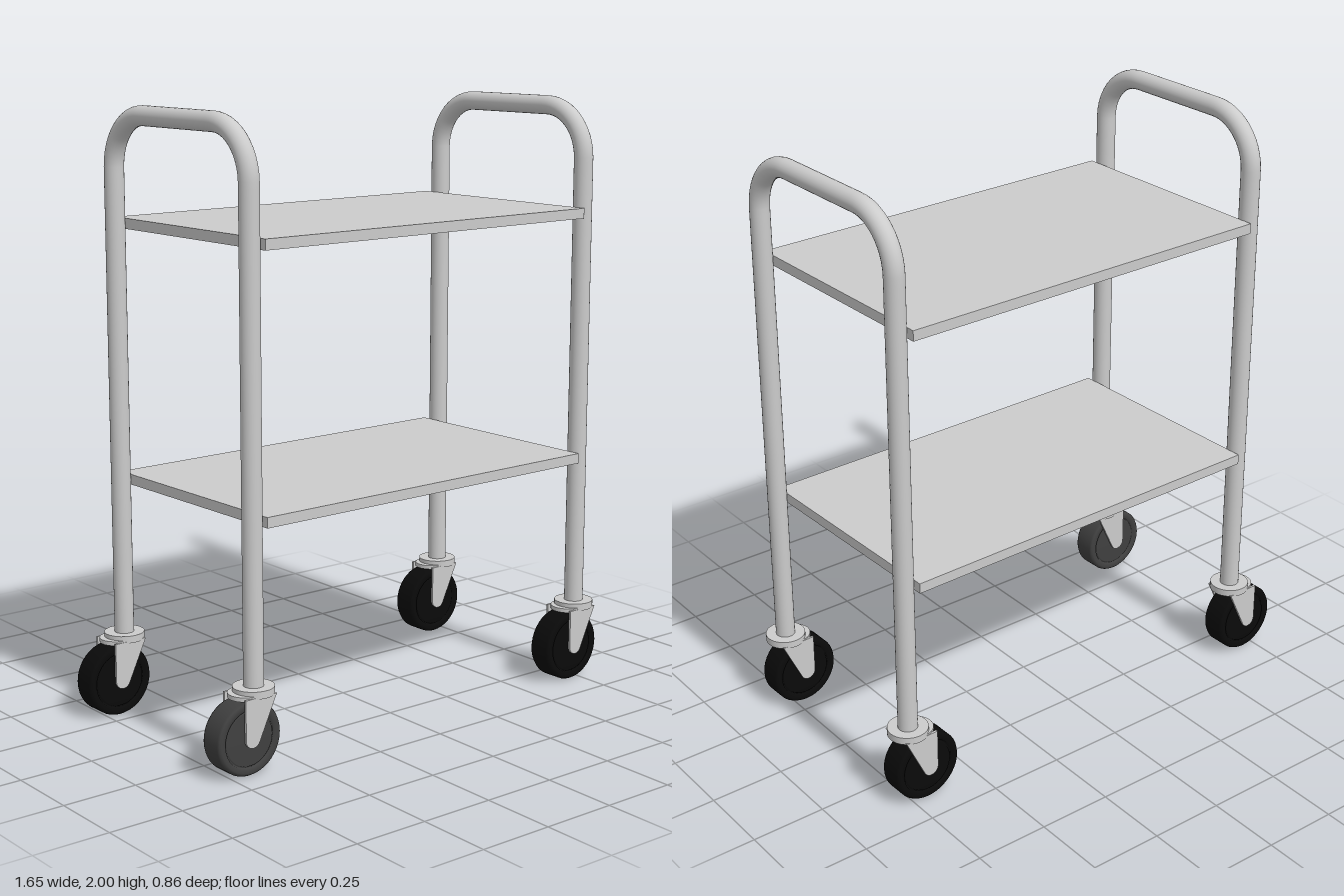
import * as THREE from 'three';

const mat = (color) => new THREE.MeshStandardMaterial({ color });
const grey = mat(0xcccccc);
const black = mat(0x0a0a0a);
const darkGrey = mat(0x404040);

const HALF_X = 0.7, HALF_Z = 0.351, TUBE_R = 0.032;
const AXLE_X = -0.046, AXLE_Y = 0.12;

function part(name, geometry, material, x = 0, y = 0, z = 0) {
  const mesh = new THREE.Mesh(geometry, material);
  mesh.name = name;
  mesh.position.set(x, y, z);
  return mesh;
}

// Inverted U of tube: two posts joined by a rounded handle
function frameGeometry() {
  const top = 2 - TUBE_R, r = 0.17, k = r * 0.4477, base = 0.25;
  const v = (y, z) => new THREE.Vector3(0, y, z);
  const path = new THREE.CurvePath();
  path.add(new THREE.LineCurve3(v(base, HALF_Z), v(top - r, HALF_Z)));
  path.add(new THREE.CubicBezierCurve3(v(top - r, HALF_Z), v(top - k, HALF_Z), v(top, HALF_Z - k), v(top, HALF_Z - r)));
  path.add(new THREE.LineCurve3(v(top, HALF_Z - r), v(top, r - HALF_Z)));
  path.add(new THREE.CubicBezierCurve3(v(top, r - HALF_Z), v(top, k - HALF_Z), v(top - k, -HALF_Z), v(top - r, -HALF_Z)));
  path.add(new THREE.LineCurve3(v(top - r, -HALF_Z), v(base, -HALF_Z)));
  return new THREE.TubeGeometry(path, 180, TUBE_R, 24);
}

// Wheel profile turned about its axle: hub face, shallow groove, rounded tread
function wheelGeometry() {
  const half = [[0, 0.040], [0.086, 0.040], [0.088, 0.036], [0.092, 0.036], [0.094, 0.042],
    [0.108, 0.043], [0.115, 0.040], [0.119, 0.033]];
  const profile = [
    ...half.map(([r, y]) => new THREE.Vector2(r, -y)),
    ...half.slice().reverse().map(([r, y]) => new THREE.Vector2(r, y)),
  ];
  return new THREE.LatheGeometry(profile, 40).rotateX(Math.PI / 2);
}

// Tapered side plate of the fork with a rounded lower end around the axle
function forkLegGeometry() {
  const r = 0.027;
  const s = new THREE.Shape();
  s.moveTo(0.045, 0.252);
  s.lineTo(-0.073, 0.252);
  s.lineTo(AXLE_X - r, AXLE_Y + 0.005);
  s.absarc(AXLE_X, AXLE_Y + 0.003, r, Math.PI, Math.PI * 1.88, false);
  s.closePath();
  return new THREE.ExtrudeGeometry(s, { depth: 0.008, bevelEnabled: false, curveSegments: 16 })
    .translate(0, 0, -0.004);
}

const wheelGeo = wheelGeometry();
const legGeo = forkLegGeometry();

function caster(wheelMaterial) {
  const g = new THREE.Group();
  g.name = 'caster';
  g.add(part('swivelCollar', new THREE.CylinderGeometry(0.066, 0.066, 0.024, 32), grey, 0, 0.259, 0));
  g.add(part('forkCrown', new THREE.CylinderGeometry(0.057, 0.057, 0.014, 32), grey, -0.03, 0.25, 0));
  for (const side of [-1, 1]) {
    const leg = part('forkLeg', legGeo, grey, 0, 0, side * 0.054);
    g.add(leg);
  }
  const axle = new THREE.CylinderGeometry(0.012, 0.012, 0.112, 16).rotateX(Math.PI / 2);
  g.add(part('axle', axle, grey, AXLE_X, AXLE_Y, 0));
  g.add(part('wheel', wheelGeo, wheelMaterial, AXLE_X, AXLE_Y, 0));
  return g;
}

export function createModel() {
  const model = new THREE.Group();
  model.name = 'trolley';
  const cart = new THREE.Group();
  cart.name = 'cart';

  // End frames with a caster under each post
  const frameGeo = frameGeometry();
  for (const sx of [-1, 1]) {
    cart.add(part('endFrame', frameGeo, grey, sx * HALF_X, 0, 0));
    for (const sz of [-1, 1]) {
      const c = caster(sx < 0 && sz > 0 ? darkGrey : black);
      c.position.set(sx * HALF_X, 0.001, sz * HALF_Z);
      cart.add(c);
    }
  }

  // Upper and lower shelves
  for (const [name, y] of [['lowerShelf', 0.784], ['upperShelf', 1.62]]) {
    cart.add(part(name, new THREE.BoxGeometry(1.34, 0.034, 0.782), grey, 0, y, -0.003));
  }

  // The whole cart stands turned very slightly
  cart.rotation.y = 0.021;
  cart.position.set(0.049, 0, 0.002);
  model.add(cart);
  return model;
}
